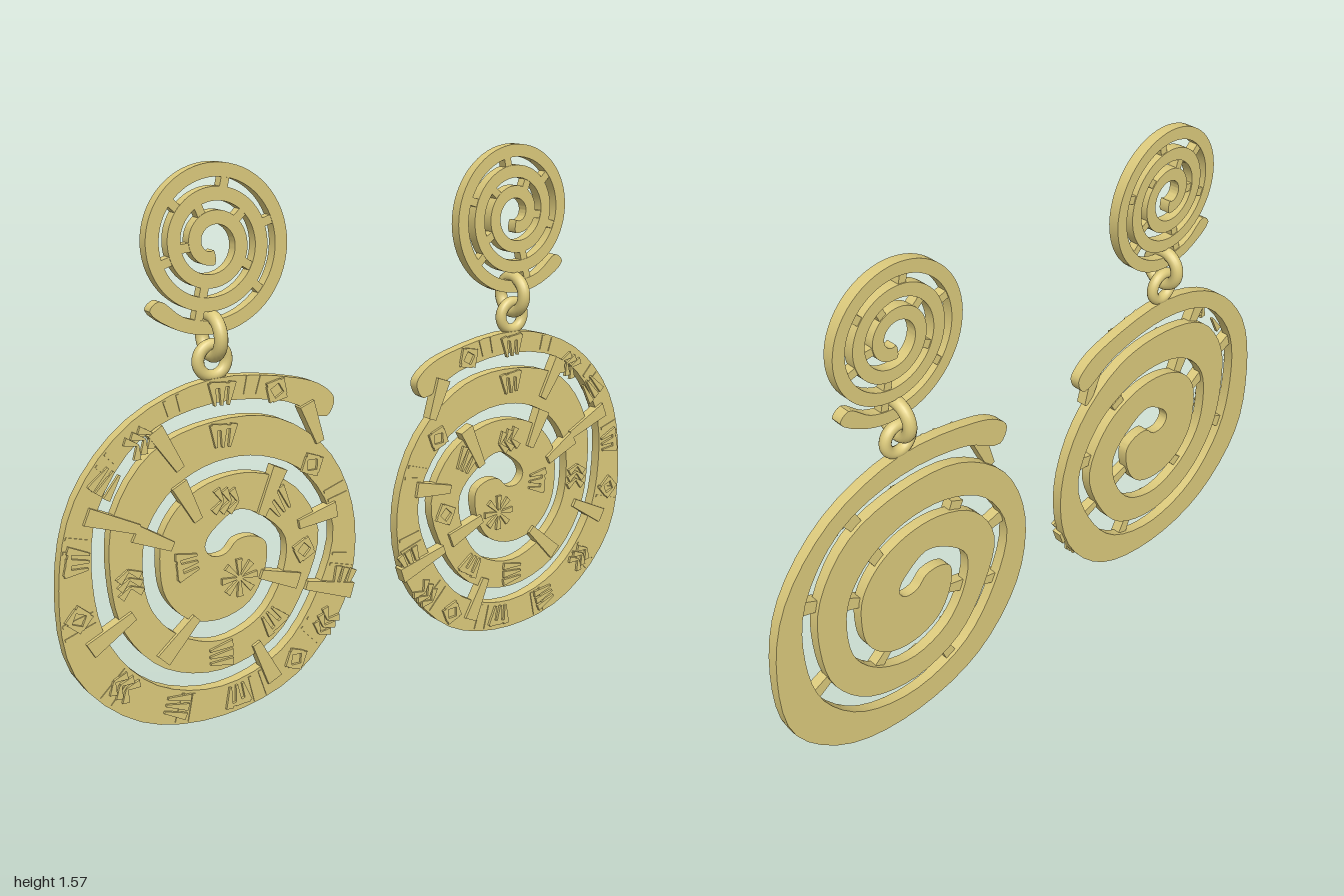
import * as THREE from 'three';
import { mergeGeometries, toCreasedNormals } from 'three/addons/utils/BufferGeometryUtils.js';

const UNIT = 187; // layout units per model unit
const BACK = -0.015, FRONT = 0.018;
const BIG = [138, 278], SMALL = [141.3, 117.3];

const gold = new THREE.MeshStandardMaterial({ color: 0xdcca7c });

const polar = ([cx, cy], r, deg) => {
  const a = THREE.MathUtils.degToRad(deg);
  return [cx + r * Math.cos(a), cy - r * Math.sin(a)];
};

// Outer radius of the pendant spiral every 30 degrees, winding inwards from 60 degrees
const RADII = [100, 93, 90, 88, 87, 94, 95, 93, 94, 91, 86, 82, 77, 71, 70, 65, 60, 62,
  65, 66, 65, 61, 62, 55, 46, 40, 37, 35, 33, 35, 37, 37, 36, 32, 29];

// Flat slab from an outline; side = -1 gives the mirrored earring
function slab(points, side, z0, z1, smooth = false) {
  let pts = points.map(([x, y]) => new THREE.Vector2(side * (x - 238.5) / UNIT, (371.5 - y) / UNIT));
  if (smooth) {
    const curve = new THREE.CatmullRomCurve3(pts.map(p => new THREE.Vector3(p.x, p.y, 0)), true);
    pts = curve.getPoints(pts.length * 4).slice(0, -1).map(p => new THREE.Vector2(p.x, p.y));
  }
  const geo = new THREE.ExtrudeGeometry(new THREE.Shape(pts), { depth: z1 - z0, bevelEnabled: false });
  geo.translate(0, 0, z0);
  return smooth ? toCreasedNormals(geo, 0.5) : geo;
}

// Tapered strip between two points
function strip([ax, ay], [bx, by], wa, wb, side, z0, z1) {
  const l = Math.hypot(bx - ax, by - ay);
  const nx = -(by - ay) / l / 2, ny = (bx - ax) / l / 2;
  return slab([[ax + nx * wa, ay + ny * wa], [bx + nx * wb, by + ny * wb],
    [bx - nx * wb, by - ny * wb], [ax - nx * wa, ay - ny * wa]], side, z0, z1);
}

// Wide spiral: outer edge inwards, round the core hook, then back along the inner edge
function bigOutline() {
  const at = (r, i) => polar(BIG, r, 60 + 30 * i);
  const rel = (x, y) => [BIG[0] + x, BIG[1] - y];
  const outer = RADII.map(at);
  const core = [rel(22, 5), rel(12, 5), rel(5, -1), rel(-3, -1), rel(-7, 4)];
  const inner = [];
  for (let i = 0; i < 27; i++) {
    const last = [31, 25, 15, 11];
    inner.push(at(i < 23 ? RADII[i + 12] + (i > 18 ? 12 : 9.5) : last[i - 23], i));
  }
  const tip = [rel(68, 63), rel(73, 72), rel(66, 80)];
  return [...outer, ...core, ...inner.reverse(), ...tip];
}

// Narrow spiral of the stud
const studRadius = t => 46.5 - 11.5 * t;
const studPoint = (t, d) => polar(SMALL, studRadius(t) - d, 220 + 360 * t);
function studOutline() {
  const outer = [], inner = [];
  for (let i = 0; i <= 50; i++) {
    const t = i / 50 * 3.15;
    outer.push(studPoint(t, 0));
    inner.push(studPoint(t, 7));
  }
  return [...outer, ...inner.reverse()];
}

// Wedge bridges across the pendant gaps: wide end, narrow end
const BRIDGES = [
  [105, 206, 118, 228], [193, 206, 201, 228], [67, 243, 94, 255], [65, 313, 89, 300],
  [104, 329, 124, 310], [170, 358, 159, 334], [221, 318, 191, 308], [186, 304, 163, 295],
  [211, 268, 187, 272], [176, 238, 164, 262], [117, 236, 127, 257], [92, 257, 112, 268],
];

// Ornament motifs as tapered strokes in a unit cell (tangent, radial)
const MOTIFS = [
  [[-.8, .8, -.5, -.8], [0, .8, 0, -.8], [.8, .8, .5, -.8], [-.9, .6, .9, .6]],
  [[-.8, 0, 0, .8], [0, .8, .8, 0], [.8, 0, 0, -.8], [0, -.8, -.8, 0]],
  [[-.8, .8, -.2, 0], [-.8, -.8, -.2, 0], [-.2, .8, .4, 0], [-.2, -.8, .4, 0], [.4, .8, 1, 0], [.4, -.8, 1, 0]],
  [[-.9, .7, .9, .5], [-.9, 0, .9, 0], [-.9, -.7, .9, -.5]],
];
const MARKS = [[143, 193], [175, 196], [97, 211], [78, 228], [61, 265], [60, 295], [82, 338],
  [111, 357], [147, 361], [184, 350], [204, 333], [215, 310], [143, 215], [196, 240], [88, 283],
  [138, 335], [170, 323], [190, 287], [143, 250], [175, 257], [120, 280]];

function ornaments(side) {
  const parts = [];
  MARKS.forEach(([x, y], k) => {
    const a = Math.atan2(BIG[1] - y, x - BIG[0]);
    const place = (u, v) => [x + 7.5 * (u * Math.sin(a) + v * Math.cos(a)),
      y + 7.5 * (u * Math.cos(a) - v * Math.sin(a))];
    for (const [u0, v0, u1, v1] of MOTIFS[k % MOTIFS.length])
      parts.push(strip(place(u0, v0), place(u1, v1), 4, 1.2, side, FRONT - 0.002, 0.026));
  });
  // eight-rayed star on the core
  for (let i = 0; i < 8; i++)
    parts.push(strip(polar([150, 294], 10.5, i * 45), [150, 294], 3.5, 0.8, side, FRONT - 0.002, 0.026));
  return mergeGeometries(parts);
}

// Paired ribs dividing the outer band into panels
function ribs(side) {
  const parts = [];
  for (let i = 0; i < 11; i++) {
    for (const d of [-0.08, 0.08]) {
      const f = i + 0.5 + d, k = Math.floor(f), m = f - k;
      const mix = j => THREE.MathUtils.lerp(RADII[k + j], RADII[k + j + 1], m);
      const deg = 60 + 30 * f;
      parts.push(strip(polar(BIG, mix(0) - 1.5, deg), polar(BIG, mix(12) + 11, deg), 1.6, 1.6,
        side, FRONT - 0.002, 0.021));
    }
  }
  return mergeGeometries(parts);
}

function earring(side) {
  const group = new THREE.Group();
  group.name = side > 0 ? 'rightEarring' : 'leftEarring';
  const add = (name, geo) => {
    const mesh = new THREE.Mesh(geo, gold);
    mesh.name = name;
    group.add(mesh);
    return mesh;
  };

  // pendant
  add('pendantSpiral', slab(bigOutline(), side, BACK, FRONT, true));
  add('pendantBridges', mergeGeometries(BRIDGES.map(([ax, ay, bx, by]) =>
    strip([ax, ay], [bx, by], 9, 5, side, -0.004, 0.028))));
  add('panelRibs', ribs(side));
  add('wedgeOrnaments', ornaments(side));

  // stud
  add('studSpiral', slab(studOutline(), side, BACK, FRONT, true));
  const bars = [];
  for (let t = 0.1; t < 2.05; t += t < 1 ? 1 / 6 : 1 / 5)
    bars.push(strip(studPoint(t, 5), studPoint(t, 13.5), 4.5, 4.5, side, -0.012, 0.0165));
  add('studBridges', mergeGeometries(bars));

  // interlocked links
  const upper = add('upperLink', new THREE.TorusGeometry(0.054, 0.019, 16, 40));
  upper.rotation.y = Math.PI / 2;
  upper.position.set(-0.525 * side, 1.112, 0);
  const lower = add('lowerLink', new THREE.TorusGeometry(0.043, 0.017, 16, 40));
  lower.position.set(-0.525 * side, 1.045, 0);
  return group;
}

export function createModel() {
  const model = new THREE.Group();
  model.name = 'earrings';
  model.add(earring(1), earring(-1));
  return model;
}
